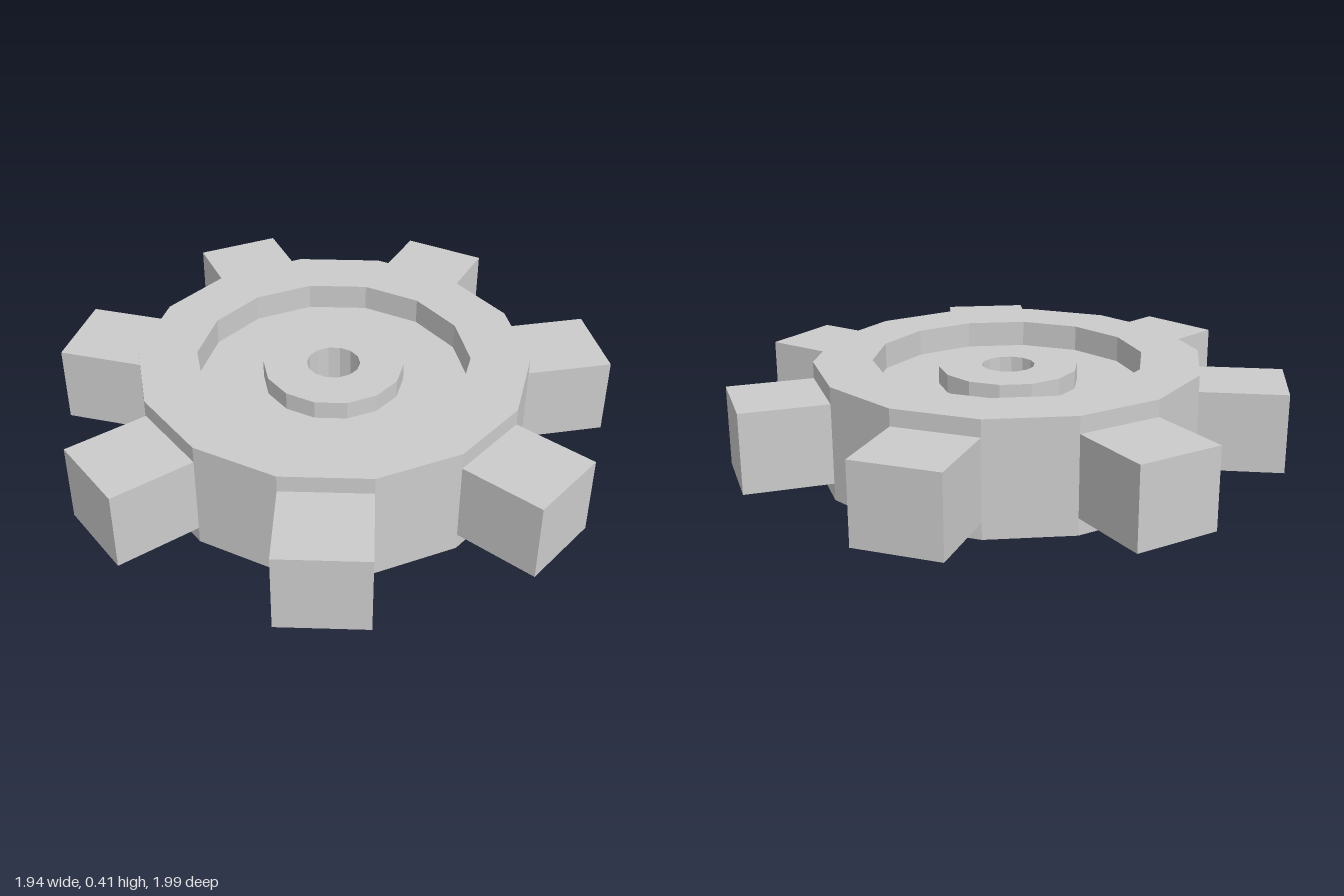
import * as THREE from 'three';

const TEETH = 7;
const SIDES = TEETH * 2;
const HEIGHT = 0.405;
const RADIUS = 0.695;
const APOTHEM = RADIUS * Math.cos(Math.PI / SIDES);
const EDGE = 2 * RADIUS * Math.sin(Math.PI / SIDES);

export function createModel() {
  const group = new THREE.Group();
  group.name = 'gear';
  const material = new THREE.MeshStandardMaterial({ color: 0xcccccc, flatShading: true });

  // Gear body: closed profile with a groove and a slightly sunken hub on both faces
  const half = [
    [RADIUS, HEIGHT], [0.485, HEIGHT], [0.485, 0.31],
    [0.25, 0.31], [0.25, 0.375], [0.095, 0.375],
  ];
  const mirrored = half.map(([r, y]) => [r, HEIGHT - y]).reverse();
  const profile = [...half, ...mirrored, half[0]].map(([r, y]) => new THREE.Vector2(r, y));
  const body = new THREE.Mesh(new THREE.LatheGeometry(profile, SIDES), material);
  body.name = 'gearBody';
  group.add(body);

  // Teeth: one block on every second side of the body
  const outer = 0.985;
  const toothGeometry = new THREE.BoxGeometry(outer - APOTHEM, 0.285, EDGE);
  toothGeometry.translate(-(outer + APOTHEM) / 2, HEIGHT / 2, 0);
  for (let i = 0; i < TEETH; i++) {
    const tooth = new THREE.Mesh(toothGeometry, material);
    tooth.name = `tooth${i + 1}`;
    tooth.rotation.y = (i * 2 * Math.PI) / TEETH;
    group.add(tooth);
  }

  // Centre the odd-toothed outline
  group.children.forEach((part) => { part.position.x = 0.01; });
  return group;
}
